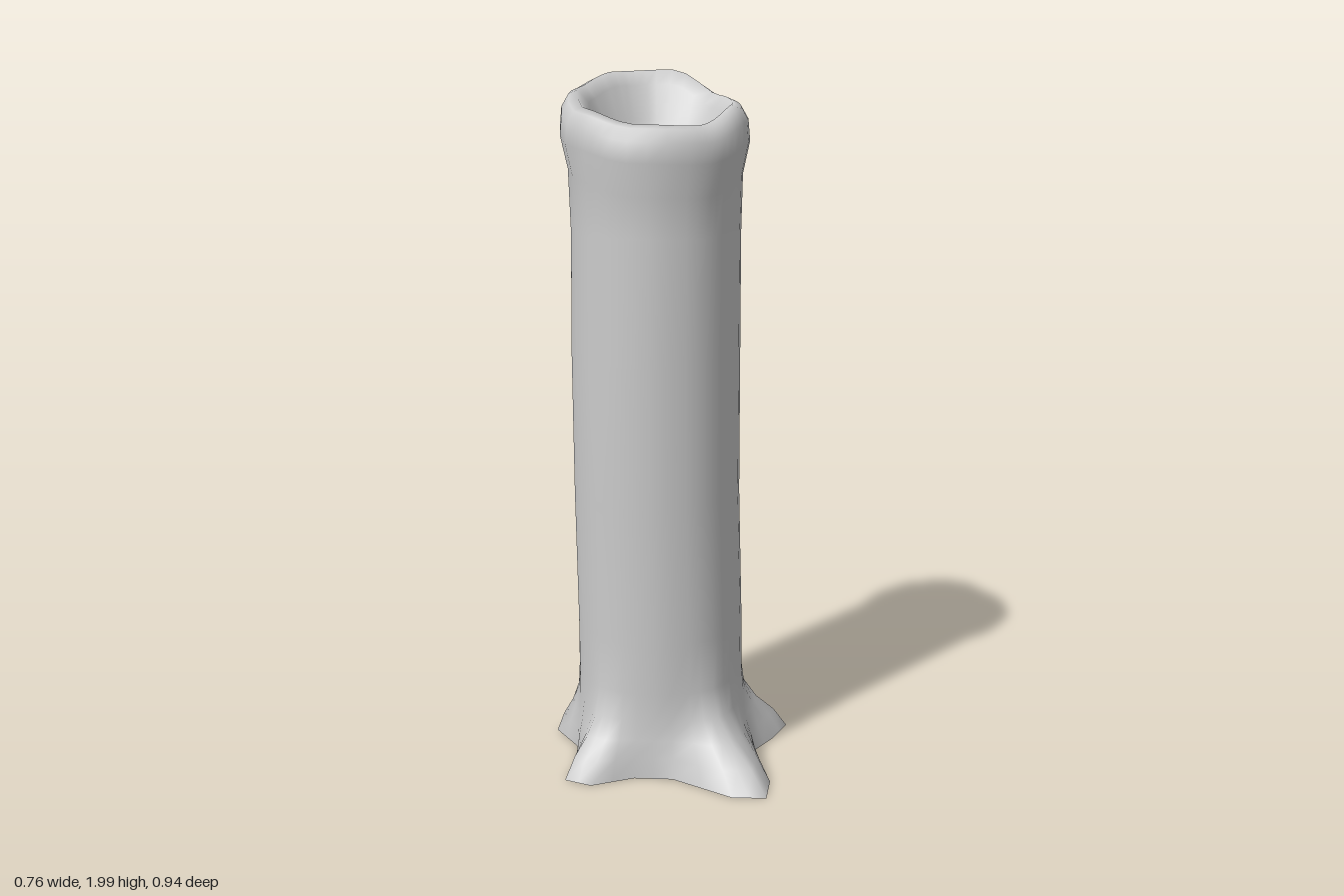
import * as THREE from 'three';

// Outline of the root flare on the ground: [x, z], one turn starting at the back
const FLARE = [
  [0.065, -0.47], [0.14, -0.35], [0.165, -0.19], [0.22, -0.11], [0.275, -0.01], [0.34, 0.035],
  [0.38, 0.10], [0.29, 0.155], [0.195, 0.195], [0.165, 0.25], [0.11, 0.39], [0.04, 0.47],
  [-0.04, 0.415], [-0.12, 0.23], [-0.21, 0.165], [-0.34, 0.14], [-0.385, 0.07], [-0.31, 0.0],
  [-0.245, -0.11], [-0.24, -0.245], [-0.11, -0.27], [-0.045, -0.315], [-0.015, -0.375],
];
// Rim height every 45 degrees, from +x towards +z
const RIM = [1.92, 1.90, 1.85, 1.855, 1.89, 1.945, 1.985, 1.99];

// Trunk rings: height, radius, centre x, centre z, share of root flare
const TRUNK = [
  [0, 0.24, -0.01, -0.015, 1], [0.06, 0.24, -0.01, -0.015, 0.74], [0.11, 0.24, -0.01, -0.015, 0.4],
  [0.17, 0.24, -0.01, -0.015, 0.15], [0.25, 0.241, -0.01, -0.015, 0.04], [0.4, 0.243, -0.01, -0.015, 0],
  [0.8, 0.241, -0.02, -0.017, 0], [1.2, 0.242, -0.023, -0.017, 0], [1.55, 0.24, -0.022, -0.017, 0],
];
// Lip and hollow rings: drop below the rim, radius, centre x, centre z, share of hollow floor height
const LIP = [
  [0.19, 0.245, -0.022, -0.02, 0], [0.1, 0.265, -0.02, -0.025, 0], [0.045, 0.26, -0.02, -0.025, 0],
  [0.01, 0.24, -0.02, -0.025, 0], [0, 0.215, -0.018, -0.027, 0], [0.02, 0.185, -0.015, -0.03, 0.1],
  [0.06, 0.15, -0.01, -0.035, 0.45], [0.09, 0.11, -0.005, -0.04, 0.82], [0.1, 0.06, 0, -0.04, 0.97],
];
const FLOOR = 1.76;

function rimHeight(angle) {
  const t = ((angle / (Math.PI / 4)) % 8 + 8) % 8;
  const i = Math.floor(t);
  const f = t - i;
  return THREE.MathUtils.lerp(RIM[i], RIM[(i + 1) % 8], f * f * (3 - 2 * f));
}

// Outline with a midpoint added on each edge
function flareColumns() {
  return FLARE.flatMap(([x, z], i) => {
    const [nx, nz] = FLARE[(i + 1) % FLARE.length];
    return [[x, z], [(x + nx) / 2, (z + nz) / 2]];
  });
}

function buildGeometry(positions, index) {
  const geometry = new THREE.BufferGeometry();
  geometry.setAttribute('position', new THREE.Float32BufferAttribute(positions, 3));
  geometry.setIndex(index);
  geometry.computeVertexNormals();
  return geometry;
}

// Bark, lip and hollow as one smooth skin
function trunkGeometry(columns) {
  const n = columns.length;
  const positions = [];
  const index = [];
  const angles = columns.map(([x, z]) => Math.atan2(z + 0.015, x + 0.01));

  for (const [y, r, cx, cz, flare] of TRUNK) {
    columns.forEach(([x, z], j) => positions.push(
      THREE.MathUtils.lerp(cx + r * Math.cos(angles[j]), x, flare), y,
      THREE.MathUtils.lerp(cz + r * Math.sin(angles[j]), z, flare)));
  }
  for (const [drop, r, cx, cz, floor] of LIP) {
    for (const a of angles) {
      const y = THREE.MathUtils.lerp(rimHeight(a) - drop, FLOOR, floor);
      positions.push(cx + r * Math.cos(a), y, cz + r * Math.sin(a));
    }
  }
  const rings = TRUNK.length + LIP.length;
  positions.push(0, FLOOR, -0.04);

  for (let j = 0; j < n; j++) {
    const k = (j + 1) % n;
    for (let i = 0; i < rings - 1; i++) {
      const a = i * n + j, b = i * n + k;
      index.push(a, a + n, b, b, a + n, b + n);
    }
    index.push((rings - 1) * n + j, rings * n, (rings - 1) * n + k);
  }
  return buildGeometry(positions, index);
}

// Flat underside closing the roots
function undersideGeometry(columns) {
  const n = columns.length;
  const positions = [0, 0, 0, ...columns.flatMap(([x, z]) => [x, 0, z])];
  const index = [];
  for (let j = 0; j < n; j++) index.push(0, 1 + j, 1 + (j + 1) % n);
  return buildGeometry(positions, index);
}

export function createModel() {
  const group = new THREE.Group();
  group.name = 'hollowTreeTrunk';
  const material = new THREE.MeshStandardMaterial({ color: 0xcccccc });
  const columns = flareColumns();

  const trunk = new THREE.Mesh(trunkGeometry(columns), material);
  trunk.name = 'trunkWithRoots';
  const underside = new THREE.Mesh(undersideGeometry(columns), material);
  underside.name = 'underside';
  group.add(trunk, underside);
  return group;
}
